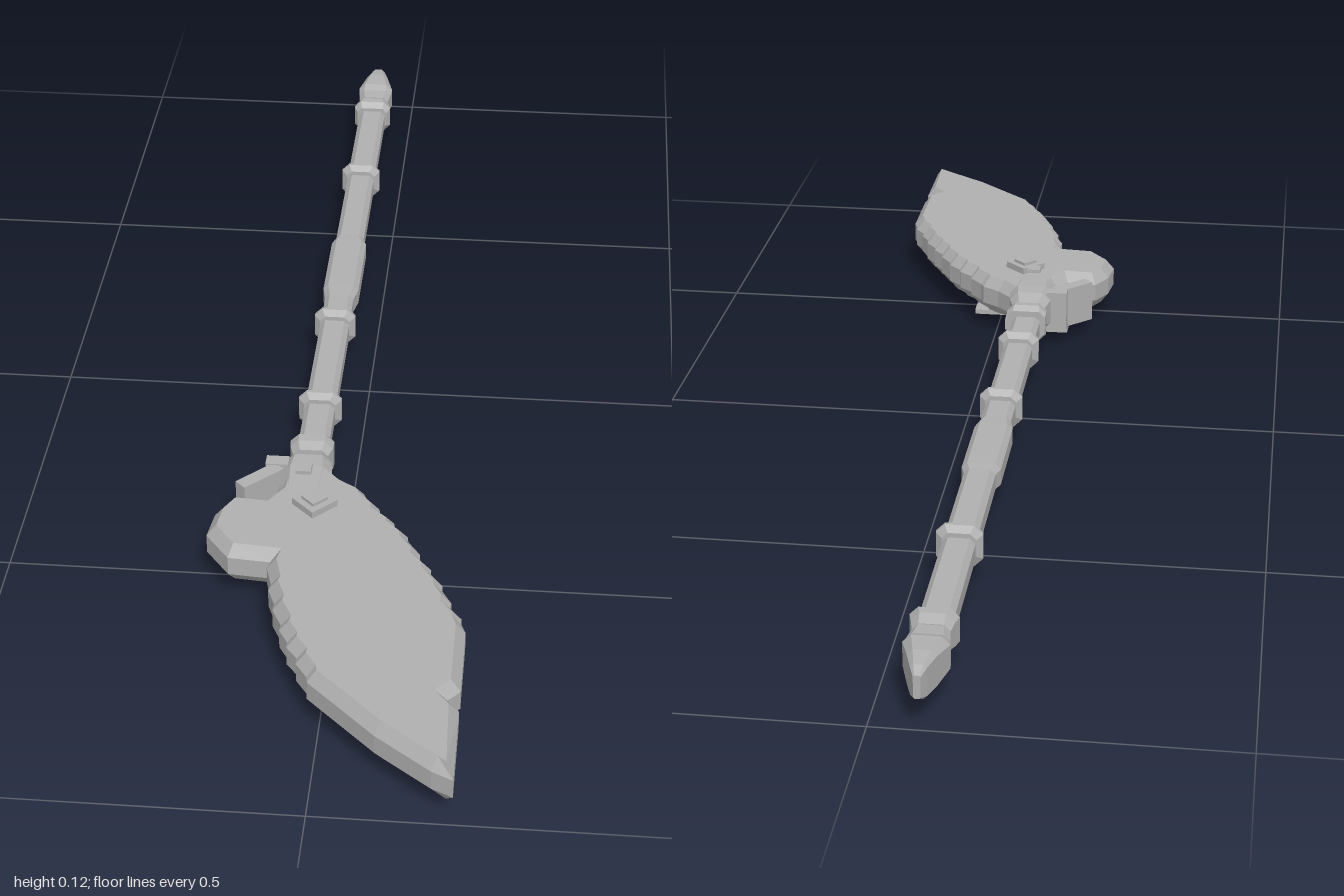
import * as THREE from 'three';

const steel = new THREE.MeshStandardMaterial({ color: 0xb0b0b0 });
steel.name = 'steel';
const SHAFT_X = -0.066;
const MID_Y = 0.063;

// Lofts chamfered rectangles along z; each section is [z, width, height, y centre]
function loft(sections) {
  const pos = [], index = [], n = 8;
  for (const [z, w, h, cy = MID_Y] of sections) {
    const a = w / 2, b = h / 2, c = Math.min(a, b) * 0.4;
    const ring = [[a, -b + c], [a, b - c], [a - c, b], [-a + c, b],
      [-a, b - c], [-a, -b + c], [-a + c, -b], [a - c, -b]];
    for (const [x, y] of ring) pos.push(SHAFT_X + x, cy + y, z);
  }
  const last = (sections.length - 1) * n;
  for (let s = 0; s < last; s += n) {
    for (let i = 0; i < n; i++) {
      const a = s + i, b = s + (i + 1) % n;
      index.push(a, b, b + n, a, b + n, a + n);
    }
  }
  for (let i = 1; i < n - 1; i++) {
    index.push(0, i + 1, i, last, last + i, last + i + 1);
  }
  const g = new THREE.BufferGeometry();
  g.setAttribute('position', new THREE.Float32BufferAttribute(pos, 3));
  g.setIndex(index);
  const flat = g.toNonIndexed();
  flat.computeVertexNormals();
  return flat;
}

// Adds a small tooth to each segment of an edge
function serrate(points, depth) {
  const out = [];
  points.forEach((p, i) => {
    out.push(p);
    const q = points[i + 1];
    if (!q) return;
    const dx = q[0] - p[0], dz = q[1] - p[1], l = Math.hypot(dx, dz);
    out.push([p[0] + dx * 0.75 + dz / l * depth, p[1] + dz * 0.75 - dx / l * depth]);
  });
  return out;
}

// Bevelled broad blade lying flat, outline given as x, z
function bladeGeometry() {
  const cuttingEdge = serrate([[-0.005, 0.368], [0.03, 0.4], [0.053, 0.437], [0.078, 0.468],
    [0.1, 0.5], [0.12, 0.542], [0.138, 0.574], [0.157, 0.611], [0.17, 0.648], [0.188, 0.682]], 0.005);
  const backEdge = serrate([[0.005, 0.844], [-0.018, 0.812], [-0.035, 0.775], [-0.052, 0.742],
    [-0.065, 0.706], [-0.08, 0.66], [-0.09, 0.616], [-0.097, 0.565]], 0.005);
  const outline = [[-0.035, 0.335], ...cuttingEdge,
    [0.195, 0.7], [0.195, 0.825], [0.178, 0.844], [0.195, 0.865], [0.195, 1], [0.165, 0.985],
    [0.085, 0.923], ...backEdge,
    [-0.16, 0.56], [-0.198, 0.51], [-0.192, 0.46], [-0.172, 0.422], [-0.122, 0.426],
    [-0.106, 0.4], [-0.1, 0.335]];
  const shape = new THREE.Shape(outline.map(([x, z]) => new THREE.Vector2(x, z)));
  const g = new THREE.ExtrudeGeometry(shape, {
    depth: 0.03, bevelEnabled: true, bevelSegments: 1,
    bevelSize: 0.014, bevelOffset: -0.014, bevelThickness: 0.018,
  });
  g.rotateX(Math.PI / 2);
  g.translate(0, 0.079, 0);
  return g;
}

export function createModel() {
  const model = new THREE.Group();
  model.name = 'polearm';

  const add = (name, geometry) => {
    const m = new THREE.Mesh(geometry, steel);
    m.name = name;
    model.add(m);
    return m;
  };
  const box = (name, w, h, d, x, y, z, turn = 0) => {
    const m = add(name, new THREE.BoxGeometry(w, h, d));
    m.position.set(x, y, z);
    m.rotation.y = turn;
  };

  add('blade', bladeGeometry());

  // Shaft with a thicker grip
  add('shaft', loft([[-0.86, 0.048, 0.04, 0.058], [-0.37, 0.048, 0.04, 0.058],
    [-0.35, 0.06, 0.042, 0.058], [-0.2, 0.06, 0.042, 0.058],
    [-0.17, 0.048, 0.04, 0.058], [0.3, 0.048, 0.04, 0.058]]));

  // Ridged rings along the shaft
  for (const z of [-0.592, -0.1, 0.145]) {
    add('shaftRing', loft([[z - 0.01, 0.05, 0.044], [z - 0.003, 0.068, 0.064],
      [z + 0.003, 0.068, 0.064], [z + 0.01, 0.05, 0.044]]));
  }

  // Socket joining the shaft to the blade
  add('socket', loft([[0.255, 0.066, 0.05], [0.265, 0.068, 0.066], [0.28, 0.066, 0.064],
    [0.295, 0.054, 0.05], [0.32, 0.07, 0.07], [0.35, 0.078, 0.072], [0.41, 0.07, 0.068]]));

  // Pommel with a collar and tapered tip
  add('pommelCollar', loft([[-0.872, 0.052, 0.045], [-0.855, 0.06, 0.06],
    [-0.84, 0.068, 0.06], [-0.83, 0.056, 0.042]]));
  add('pommelTip', loft([[-1, 0.01, 0.034], [-0.985, 0.022, 0.05], [-0.955, 0.04, 0.06],
    [-0.915, 0.064, 0.058], [-0.9, 0.06, 0.046], [-0.865, 0.05, 0.042]]));
  add('pommelStud', loft([[-0.9, 0.02, 0.012, 0.044], [-0.885, 0.03, 0.036, 0.044],
    [-0.865, 0.02, 0.012, 0.044]]));

  // Guard beside the socket
  box('guardBlock', 0.035, 0.07, 0.022, -0.112, 0.062, 0.337);
  box('guardBar', 0.075, 0.07, 0.022, -0.135, 0.06, 0.375, Math.PI / 4);
  box('lowerPlate', 0.11, 0.02, 0.07, -0.075, 0.028, 0.375);
  box('lowerCrossPlate', 0.1, 0.008, 0.035, -0.01, 0.029, 0.41);

  // Diamond ornaments and small studs on both faces
  for (const s of [1, -1]) {
    const y = s > 0 ? 0.101 : 0.014;
    box('diamondBase', 0.048, 0.014, 0.048, -0.044, y, 0.445, Math.PI / 4);
    box('diamondCap', 0.028, 0.008, 0.028, -0.044, y + s * 0.008 - (s < 0 ? 0.002 : 0), 0.445, Math.PI / 4);
    box('smallPlate', 0.023, 0.006, 0.022, -0.066, s > 0 ? 0.118 : 0.008, 0.384);
  }
  box('diamondStem', 0.02, 0.03, 0.02, -0.044, 0.025, 0.445, Math.PI / 4);

  return model;
}
